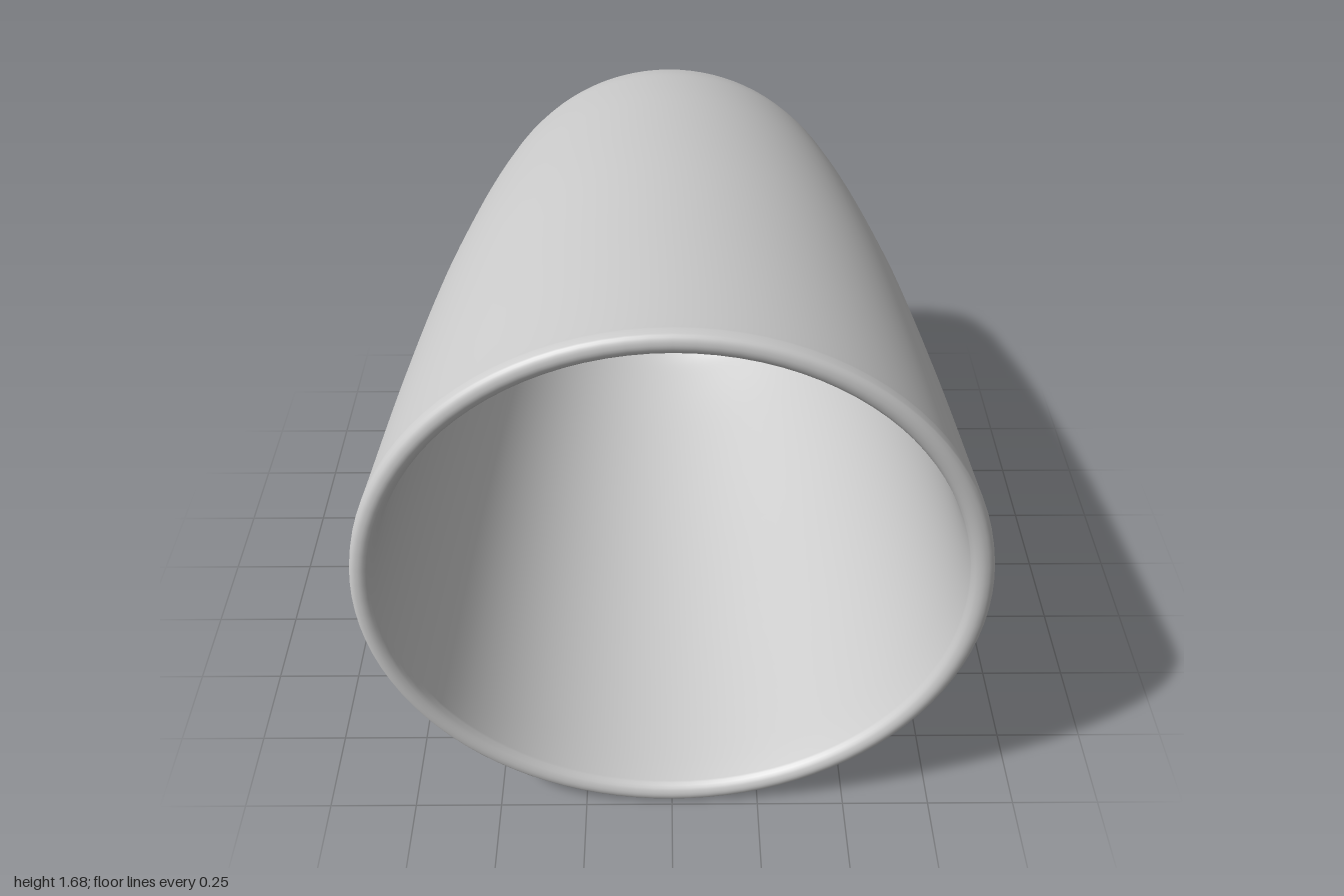
import * as THREE from 'three';

const RADIUS = 0.838; // outer radius at the mouth

// Smooth run of profile points [radius, height]
function smooth(points, divisions) {
  const curve = new THREE.SplineCurve(points.map(([r, h]) => new THREE.Vector2(r, h)));
  return curve.getPoints(divisions);
}

// Underside: concentric rounded grooves cut into a flat base
function ringedBase() {
  const grooves = [0.135, 0.285, 0.435], halfWidth = 0.055, depth = 0.045;
  const points = [];
  for (let i = 0; i <= 64; i++) {
    const r = (i / 64) * 0.51;
    let h = -1;
    for (const g of grooves) {
      const t = Math.abs(r - g) / halfWidth;
      if (t < 1) h += depth * 0.5 * (1 + Math.cos(Math.PI * t));
    }
    points.push(new THREE.Vector2(r, h));
  }
  return points;
}

export function createModel() {
  const group = new THREE.Group();
  group.name = 'cup';
  const material = new THREE.MeshStandardMaterial({ color: 0xcccccc });

  // Tapering outer wall, from the rounded base edge to the mouth
  const outerWall = smooth([
    [0.535, -1], [0.56, -0.985], [0.582, -0.95], [0.605, -0.89], [0.635, -0.78],
    [0.69, -0.5], [0.755, -0.05], [0.802, 0.45], [0.832, 0.88], [RADIUS, 0.96],
  ], 48);

  // Rounded lip
  const lip = smooth([
    [0.836, 0.978], [0.825, 0.99], [0.805, 0.994], [0.785, 0.985], [0.775, 0.965],
  ], 12);

  // Inner wall curving into a flat floor
  const innerWall = smooth([
    [0.77, 0.9], [0.742, 0.45], [0.695, -0.05], [0.63, -0.5], [0.575, -0.74],
    [0.54, -0.83], [0.5, -0.873], [0.45, -0.885],
  ], 40);
  const floor = [new THREE.Vector2(0.4, -0.885), new THREE.Vector2(0, -0.885)];

  const profile = [...ringedBase(), ...outerWall, ...lip, ...innerWall, ...floor];
  const body = new THREE.Mesh(new THREE.LatheGeometry(profile, 96), material);
  body.name = 'cupBody';
  body.rotation.x = Math.PI / 2; // lay on its side, mouth to the front
  body.position.y = RADIUS;
  group.add(body);
  return group;
}
